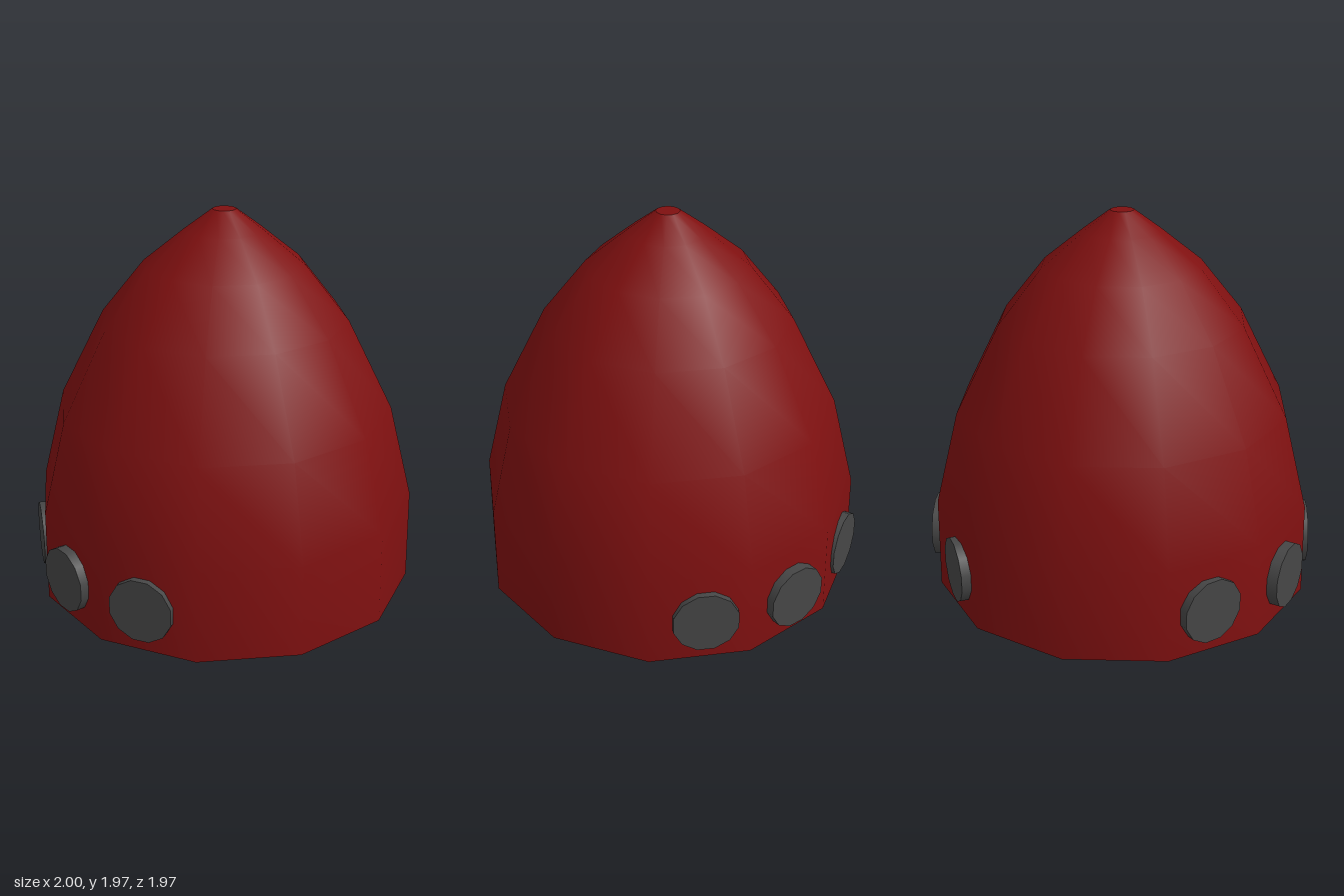
import * as THREE from 'three';

const SIDES = 12;
const WALL = 0.05;

export function createModel() {
  const model = new THREE.Group();
  const red = new THREE.MeshStandardMaterial({ color: 0x7f1010 });
  const grey = new THREE.MeshStandardMaterial({ color: 0x464646 });

  // Turns a [radius, height] profile; rising profiles face outward, falling ones inward.
  const turn = (name, profile) => {
    const points = profile.map(([r, y]) => new THREE.Vector2(r, y));
    const mesh = new THREE.Mesh(new THREE.LatheGeometry(points, SIDES), red);
    mesh.name = name;
    model.add(mesh);
  };

  // Hollow nose cone: separate surfaces keep the rim and tip edges sharp.
  const outer = [[0.985, 0], [0.98, 0.48], [0.86, 0.96], [0.63, 1.415],
    [0.41, 1.69], [0.2, 1.86], [0.06, 1.965]];
  const inner = outer.map(([r, y], i) =>
    [Math.max(r - WALL, 0.02), y - WALL * i / (outer.length - 1)]).reverse();
  turn('outerShell', outer);
  turn('innerShell', [[0, inner[0][1]], ...inner]);
  turn('bottomRim', [[outer[0][0] - WALL, 0], [outer[0][0], 0]]);
  turn('tipCap', [[0.06, 1.965], [0, 1.965]]);

  // Round port covers, three per side: outer face centre x, z and facing angle.
  const disc = new THREE.CylinderGeometry(0.167, 0.167, 0.055, SIDES);
  disc.rotateY(Math.PI / SIDES);
  disc.rotateZ(-Math.PI / 2);
  disc.translate(-0.0275, 0, 0);
  const ports = [
    ['front', 0.952, 0.23, -16],
    ['middle', 0.962, -0.268, 13],
    ['rear', 0.675, -0.712, 39],
  ];
  for (const side of [1, -1]) {
    for (const [place, x, z, degrees] of ports) {
      const port = new THREE.Mesh(disc, grey);
      const angle = THREE.MathUtils.degToRad(degrees);
      port.name = `${place}Port${side > 0 ? 'Left' : 'Right'}`;
      port.position.set(side * x, 0.227, z);
      port.rotation.y = side > 0 ? angle : Math.PI - angle;
      model.add(port);
    }
  }
  return model;
}
